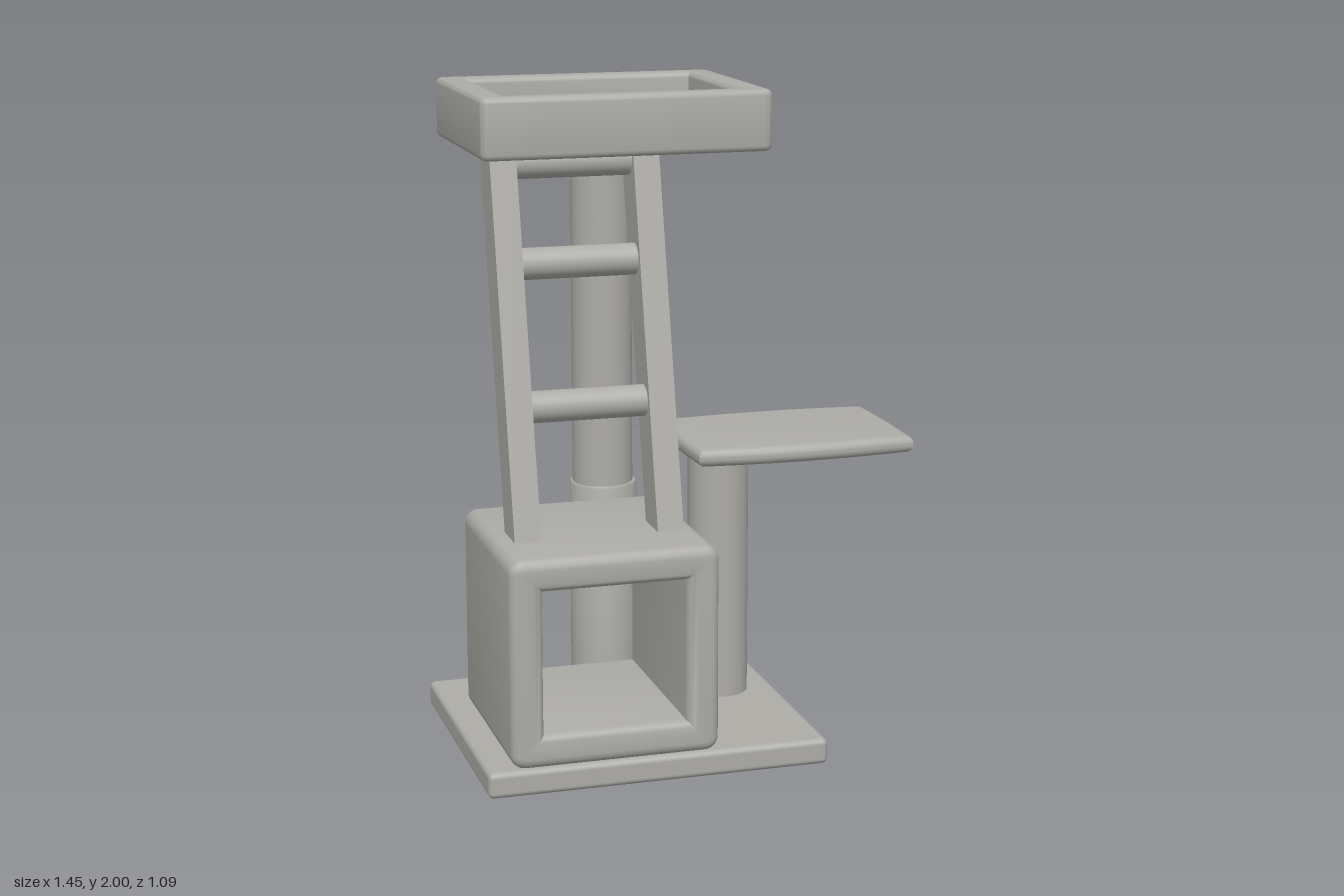
import * as THREE from 'three';
import { toCreasedNormals } from 'three/addons/utils/BufferGeometryUtils.js';
import { RoundedBoxGeometry } from 'three/addons/geometries/RoundedBoxGeometry.js';

const plush = new THREE.MeshStandardMaterial({ color: 0xadaca7 });
plush.name = 'grey plush';

// Rounded rectangle centred on the origin
function roundedRect(target, w, h, r) {
  const x = w / 2, y = h / 2;
  target.moveTo(-x + r, -y);
  target.lineTo(x - r, -y);
  target.quadraticCurveTo(x, -y, x, -y + r);
  target.lineTo(x, y - r);
  target.quadraticCurveTo(x, y, x - r, y);
  target.lineTo(-x + r, y);
  target.quadraticCurveTo(-x, y, -x, y - r);
  target.lineTo(-x, -y + r);
  target.quadraticCurveTo(-x, -y, -x + r, -y);
  return target;
}

// Extrusion with softened edges, centred along its depth
function softExtrude(shape, depth, bevel) {
  const geo = new THREE.ExtrudeGeometry(shape, {
    depth: depth - 2 * bevel, bevelThickness: bevel, bevelSize: bevel,
    bevelSegments: 4, curveSegments: 6,
  });
  geo.translate(0, 0, -(depth - 2 * bevel) / 2);
  return toCreasedNormals(geo, 0.7);
}

// Thick rectangular frame; sizes are the finished outer and inner ones
function frame(w, h, depth, holeW, holeH, r, b) {
  const shape = roundedRect(new THREE.Shape(), w - 2 * b, h - 2 * b, r);
  shape.holes.push(roundedRect(new THREE.Path(), holeW + 2 * b, holeH + 2 * b, 0.008));
  return softExtrude(shape, depth, b);
}

export function createModel() {
  const model = new THREE.Group();
  model.name = 'catTree';

  const add = (name, geo, x, y, z, parent = model) => {
    const mesh = new THREE.Mesh(geo, plush);
    mesh.name = name;
    mesh.position.set(x, y, z);
    parent.add(mesh);
    return mesh;
  };
  const post = (name, r, y0, y1, x, z) =>
    add(name, new THREE.CylinderGeometry(r, r, y1 - y0, 40), x, (y0 + y1) / 2, z);

  // Base board
  add('base', new RoundedBoxGeometry(1.05, 0.08, 0.88, 4, 0.018), -0.2, 0.04, 0.1);

  // Open cubby, front to back
  add('cubby', frame(0.635, 0.635, 0.635, 0.435, 0.435, 0.015, 0.03), -0.3375, 0.3985, 0.225);

  // Posts and the sleeve round the tall one
  post('shortPost', 0.095, 0.07, 0.88, 0.145, -0.01);
  post('tallPost', 0.095, 0.07, 1.83, -0.178, -0.205);
  const sleeve = [[0, 0.075], [0.106, 0.075], [0.106, 0.735], [0.103, 0.743], [0.095, 0.745], [0, 0.745]]
    .map(([r, y]) => new THREE.Vector2(r, y));
  add('postSleeve', toCreasedNormals(new THREE.LatheGeometry(sleeve, 40), 0.7), -0.175, 0, -0.21);

  // Side platform with gently bowed edges
  const edge = new THREE.Shape();
  edge.moveTo(-0.325, -0.205);
  edge.quadraticCurveTo(0, -0.247, 0.325, -0.205);
  edge.quadraticCurveTo(0.335, 0, 0.325, 0.205);
  edge.quadraticCurveTo(0, 0.247, -0.325, 0.205);
  edge.quadraticCurveTo(-0.335, 0, -0.325, -0.205);
  add('sidePlatform', softExtrude(edge, 0.055, 0.025).rotateX(-Math.PI / 2), 0.365, 0.8925, -0.017);

  // Leaning ladder: sheared rails with level ends
  const ladder = new THREE.Group();
  ladder.name = 'ladder';
  model.add(ladder);
  const lean = -0.2345;
  const zAt = (y) => 0.28 + lean * (y - 0.72);
  const shear = new THREE.Matrix4().set(1, 0, 0, 0, 0, 1, 0, 0, 0, lean, 1, 0, 0, 0, 0, 1);
  for (const [name, x] of [['rightRail', -0.5535], ['leftRail', -0.115]]) {
    const rail = new THREE.BoxGeometry(0.081, 1.13, 0.13).applyMatrix4(shear).toNonIndexed();
    rail.computeVertexNormals();
    add(name, rail, x, 1.27, zAt(1.27), ladder);
  }
  for (const y of [1.0875, 1.5025, 1.795]) {
    const rung = new THREE.CylinderGeometry(0.048, 0.048, 0.37, 28).rotateZ(Math.PI / 2);
    add('rung', rung, -0.334, y, zAt(y), ladder);
  }

  // Top bed: raised rim with a sunken floor
  const bed = new THREE.Group();
  bed.name = 'topBed';
  bed.position.set(-0.175, 0, -0.21);
  model.add(bed);
  add('bedRim', frame(0.9, 0.67, 0.187, 0.725, 0.52, 0.008, 0.018).rotateX(-Math.PI / 2), 0, 1.9065, 0, bed);
  add('bedFloor', new THREE.BoxGeometry(0.77, 0.076, 0.565), 0, 1.851, 0, bed);

  return model;
}
